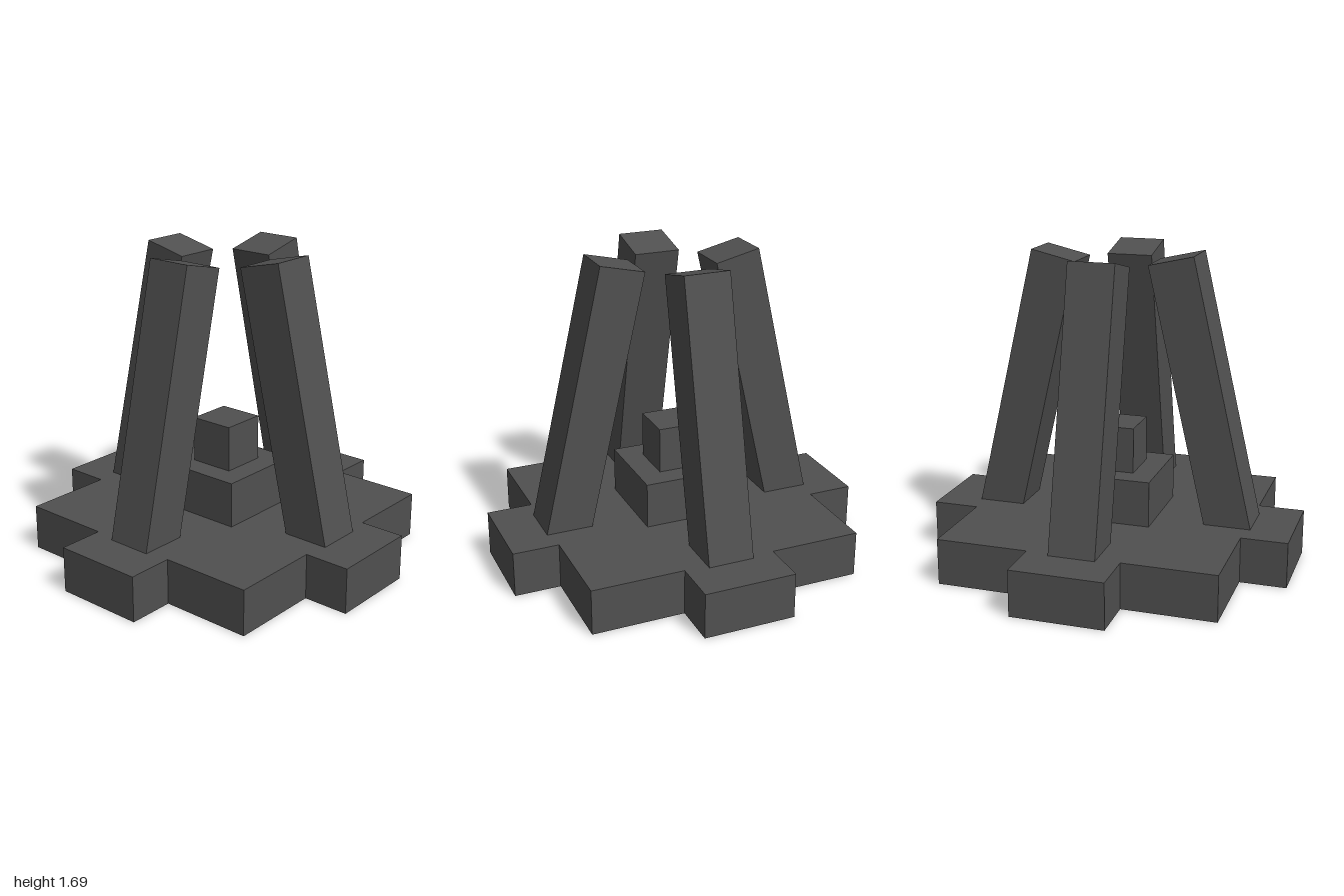
import * as THREE from 'three';

// Closed outline extruded to a given depth
function prism(points, depth) {
  const shape = new THREE.Shape(points.map(([x, y]) => new THREE.Vector2(x, y)));
  return new THREE.ExtrudeGeometry(shape, { depth, bevelEnabled: false });
}

export function createModel() {
  const stone = new THREE.MeshStandardMaterial({ color: 0x505050 });
  stone.name = 'darkStone';
  const model = new THREE.Group();
  model.name = 'pillarShrine';

  const add = (name, geometry) => {
    const mesh = new THREE.Mesh(geometry, stone);
    mesh.name = name;
    model.add(mesh);
    return mesh;
  };

  // Square slab with a tab in the middle of each side
  const quarter = [[1, -0.25], [1, 0.25], [0.75, 0.25], [0.75, 0.75], [0.25, 0.75]];
  const outline = [];
  for (let i = 0; i < 4; i++) {
    const c = [1, 0, -1, 0][i], s = [0, 1, 0, -1][i];
    for (const [x, y] of quarter) outline.push([x * c - y * s, x * s + y * c]);
  }
  add('base', prism(outline, 0.25).rotateX(-Math.PI / 2));

  // Stepped pedestal in the centre
  add('pedestal', new THREE.BoxGeometry(0.5, 0.25, 0.5)).position.y = 0.375;
  add('pedestalTop', new THREE.BoxGeometry(0.25, 0.25, 0.25)).position.y = 0.625;

  // Four pillars leaning inward, one on each side
  const pillar = prism([[0.52, 0.25], [0.775, 0.25], [0.442, 1.69], [0.2, 1.634]], 0.25);
  pillar.translate(0, 0, -0.125);
  ['left', 'back', 'right', 'front'].forEach((side, i) => {
    add(side + 'Pillar', pillar).rotation.y = i * Math.PI / 2;
  });

  return model;
}
